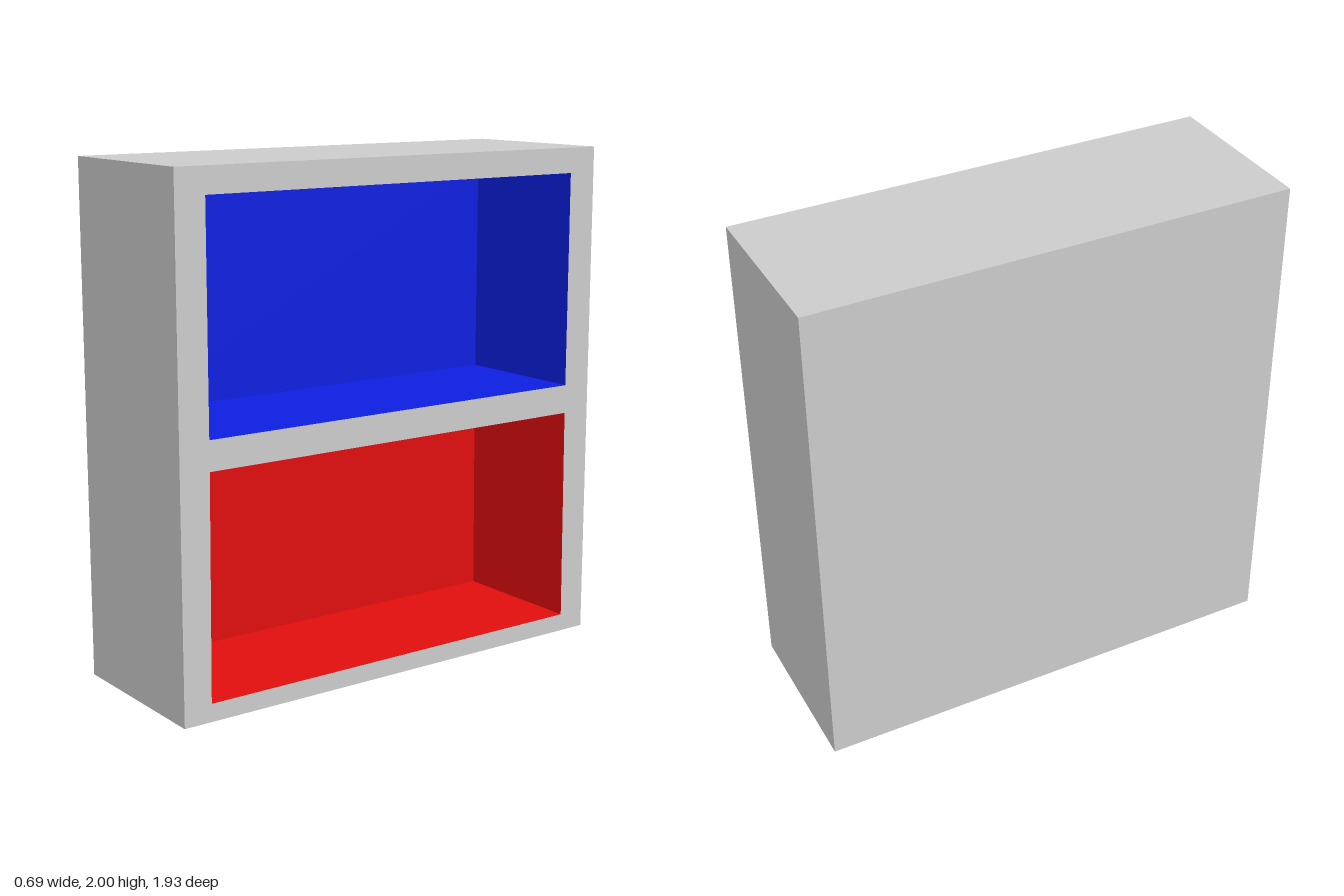
import * as THREE from 'three';

const WIDTH = 0.685, HEIGHT = 2, LENGTH = 1.935, DEPTH = 0.565;

// Opening outlines, counter-clockwise as seen from the open side (+x)
const trapezoid = (bottom, top, halfBottom, halfTop) => [
  new THREE.Vector2(-halfBottom, bottom), new THREE.Vector2(halfBottom, bottom),
  new THREE.Vector2(halfTop, top), new THREE.Vector2(-halfTop, top),
];
const compartments = [
  { name: 'upperCompartment', color: 0x0d1ee0, outline: trapezoid(1.045, 1.9, 0.845, 0.845) },
  { name: 'lowerCompartment', color: 0xe00d0d, outline: trapezoid(0.07, 0.93, 0.853, 0.845) },
];

// Inward-facing walls and back of one compartment, open at z = 0
function linerGeometry(outline) {
  const front = outline.map((p) => [p.x, p.y, 0]);
  const back = outline.map((p) => [p.x, p.y, -DEPTH]);
  const positions = [];
  const quad = (a, b, c, d) => positions.push(...a, ...b, ...c, ...a, ...c, ...d);
  for (let i = 0; i < 4; i++) {
    const j = (i + 1) % 4;
    quad(front[i], front[j], back[j], back[i]);
  }
  quad(...back);
  const geometry = new THREE.BufferGeometry();
  geometry.setAttribute('position', new THREE.Float32BufferAttribute(positions, 3));
  geometry.computeVertexNormals();
  return geometry;
}

export function createModel() {
  const group = new THREE.Group();
  group.name = 'openCabinet';
  const grey = new THREE.MeshStandardMaterial({ color: 0xcccccc });

  // Outer casing: a box without its +x face
  const casingGeometry = new THREE.BoxGeometry(WIDTH, HEIGHT, LENGTH);
  casingGeometry.setIndex(Array.from(casingGeometry.index.array).slice(6));
  casingGeometry.clearGroups();
  const casing = new THREE.Mesh(casingGeometry, grey);
  casing.name = 'casing';
  casing.position.y = HEIGHT / 2;
  group.add(casing);

  // Parts drawn on the open side
  const openSide = new THREE.Group();
  openSide.name = 'openSide';
  openSide.rotation.y = Math.PI / 2;
  openSide.position.x = WIDTH / 2;
  group.add(openSide);

  // Frame around both openings
  const face = new THREE.Shape(trapezoid(0, HEIGHT, LENGTH / 2, LENGTH / 2));
  for (const { outline } of compartments) face.holes.push(new THREE.Path([...outline].reverse()));
  const frame = new THREE.Mesh(new THREE.ShapeGeometry(face), grey);
  frame.name = 'frame';
  openSide.add(frame);

  // Coloured compartments
  for (const { name, color, outline } of compartments) {
    const liner = new THREE.Mesh(linerGeometry(outline), new THREE.MeshStandardMaterial({ color }));
    liner.name = name;
    openSide.add(liner);
  }
  return group;
}
